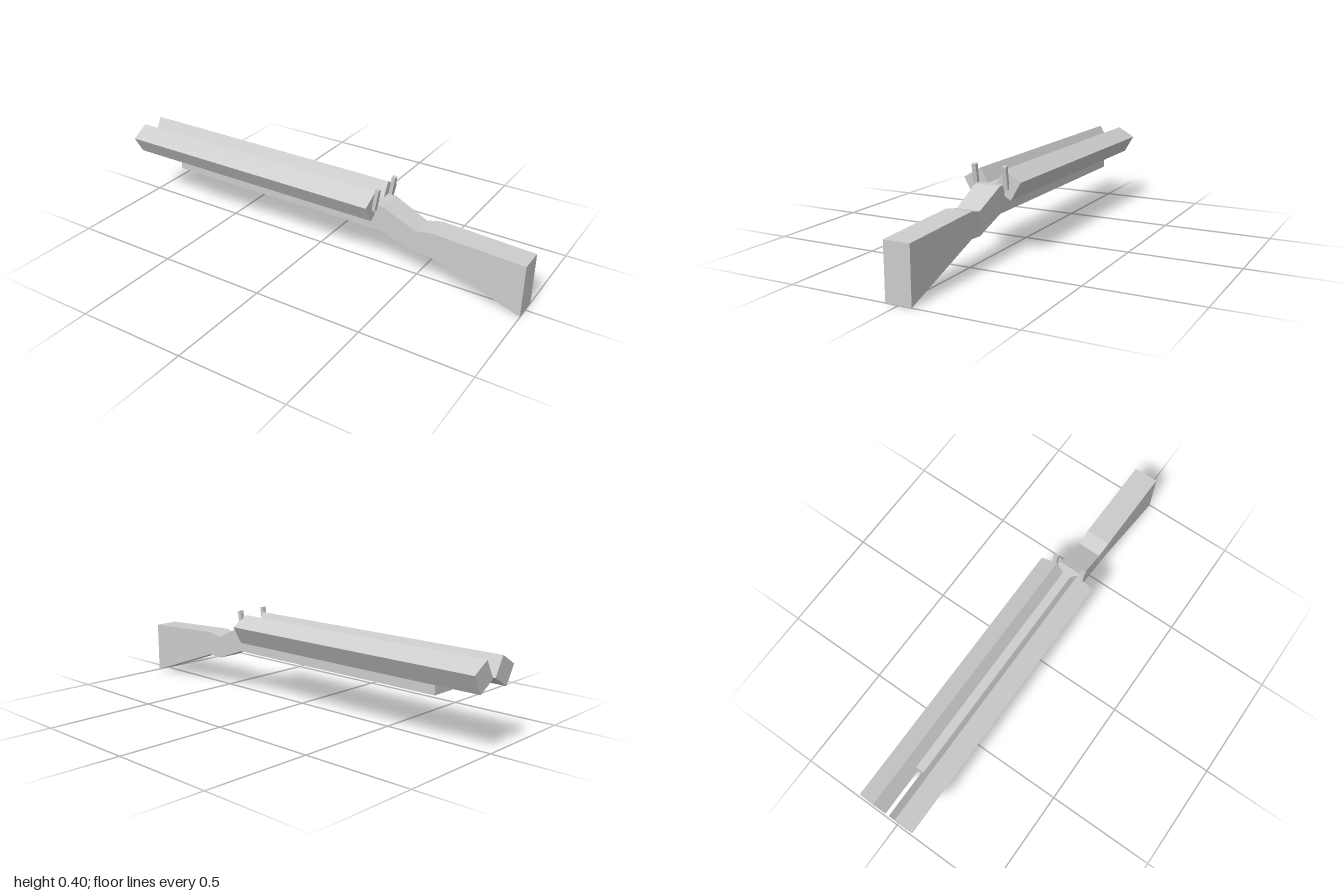
import * as THREE from 'three';

const grey = new THREE.MeshStandardMaterial({ color: 0xcccccc, flatShading: true });
grey.name = 'grey';

// Rectangular loft along x; each section is [x, bottom, top, halfWidth]
function loft(sections) {
  const pos = [];
  const ring = ([x, b, t, w]) => [[x, b, w], [x, t, w], [x, t, -w], [x, b, -w]];
  const quad = (a, b, c, d) => pos.push(...a, ...b, ...c, ...a, ...c, ...d);
  const rings = sections.map(ring);
  for (let i = 0; i < rings.length - 1; i++) {
    const p = rings[i], q = rings[i + 1];
    for (let k = 0; k < 4; k++) {
      const n = (k + 1) % 4;
      quad(p[k], q[k], q[n], p[n]);
    }
  }
  const s = rings[0], e = rings[rings.length - 1];
  quad(s[0], s[1], s[2], s[3]);
  quad(e[3], e[2], e[1], e[0]);
  const g = new THREE.BufferGeometry();
  g.setAttribute('position', new THREE.Float32BufferAttribute(pos, 3));
  g.computeVertexNormals();
  return g;
}

export function createModel() {
  const model = new THREE.Group();
  model.name = 'doubleBarrelGun';
  const add = (name, geometry) => {
    const mesh = new THREE.Mesh(geometry, grey);
    mesh.name = name;
    model.add(mesh);
    return mesh;
  };

  // Fore-end, wrist and butt in one piece
  add('stock', loft([
    [-0.775, 0.2, 0.318, 0.06],
    [0.35, 0.2, 0.318, 0.06],
    [0.507, 0.142, 0.246, 0.054],
    [0.578, 0.148, 0.261, 0.058],
    [1, 0, 0.241, 0.058],
  ]));

  // Leaning hammer profile
  const hammerShape = new THREE.Shape([
    new THREE.Vector2(0.309, 0.297),
    new THREE.Vector2(0.324, 0.297),
    new THREE.Vector2(0.341, 0.398),
    new THREE.Vector2(0.324, 0.402),
  ]);

  for (const [side, s] of [['front', 1], ['back', -1]]) {
    // Square barrel turned outwards
    const barrel = add(side + 'Barrel', new THREE.BoxGeometry(1.312, 0.094, 0.094));
    barrel.position.set(-0.344, 0.3155, s * 0.0725);
    barrel.rotation.x = s * Math.PI / 6;

    const hammer = add(side + 'Hammer',
      new THREE.ExtrudeGeometry(hammerShape, { depth: 0.02, bevelEnabled: false }));
    hammer.position.z = s * 0.072 - 0.01;
  }
  return model;
}
